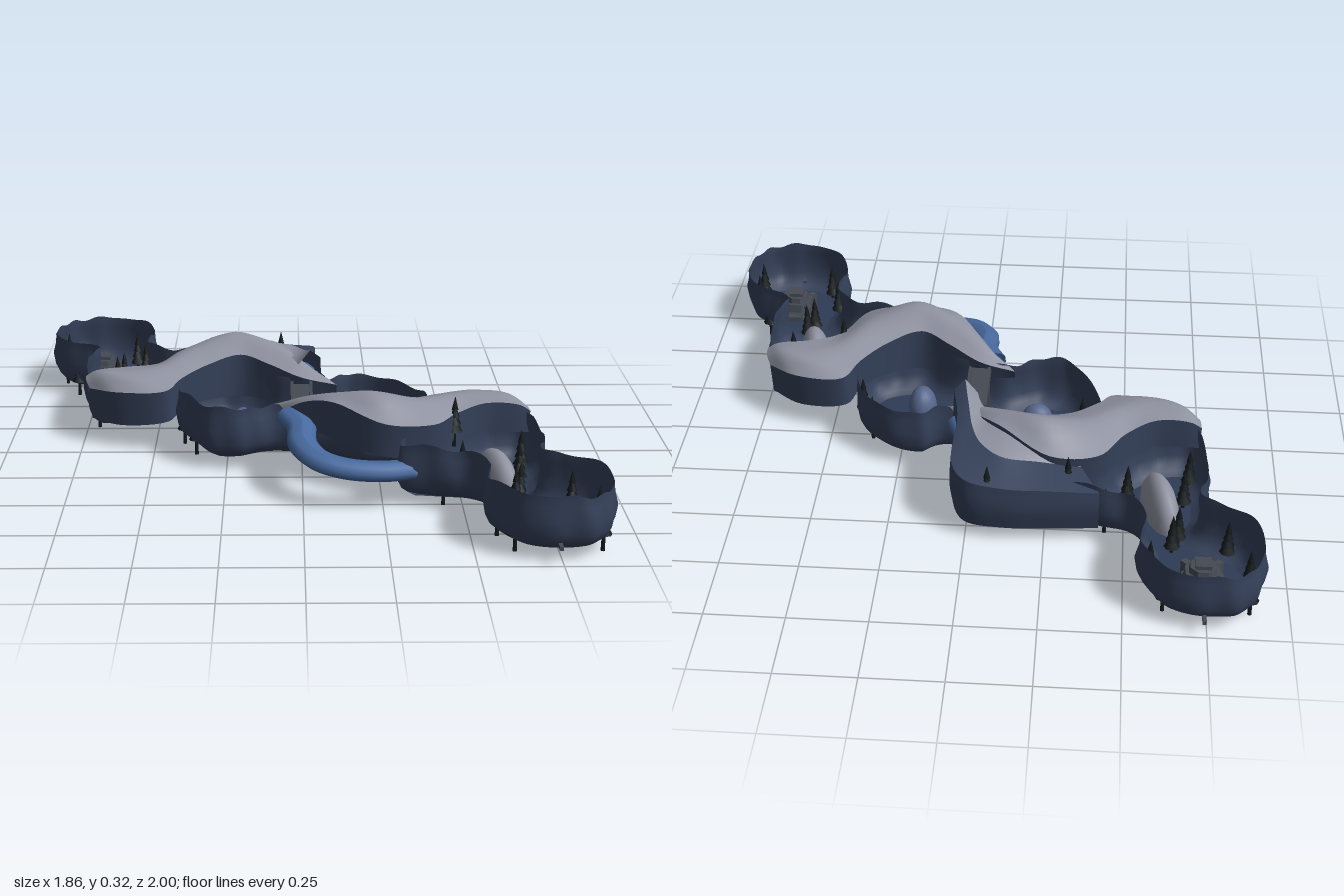
import * as THREE from 'three';

const mat = (color) => new THREE.MeshStandardMaterial({ color, side: THREE.DoubleSide, roughness: 0.9 });
const ROCK = mat(0x35415a), FLOOR = mat(0x2f3b56), SNOW = mat(0x8f92a0), ICE = mat(0x486a9f);
const TREE = mat(0x12181a), METAL = mat(0x444a54), MOUND = mat(0x56678c);
const V = (x, y, z) => new THREE.Vector3(x, y, z);

function add(parent, name, geo, material, x = 0, y = 0, z = 0, ry = 0) {
  const m = new THREE.Mesh(geo, material);
  m.name = name;
  m.position.set(x, y, z);
  m.rotation.y = ry;
  parent.add(m);
  return m;
}

// Half-buried rock that ends flat at the ground
function dome(parent, name, material, [x, y, z], [sx, sy, sz], ry = 0) {
  const geo = new THREE.SphereGeometry(1, 14, 7, 0, Math.PI * 2, 0, Math.PI / 2);
  add(parent, name, geo, material, x, y, z, ry).scale.set(sx, sy, sz);
}

// Skin a list of equally long rows of points
function skin(rows, closed) {
  const n = rows[0].length, pos = [], idx = [];
  rows.forEach((r) => r.forEach((p) => pos.push(p.x, p.y, p.z)));
  for (let r = 0; r < rows.length - 1; r++) {
    for (let i = 0; i < (closed ? n : n - 1); i++) {
      const a = r * n + i, b = r * n + (i + 1) % n;
      idx.push(a, b, a + n, b, b + n, a + n);
    }
  }
  const g = new THREE.BufferGeometry();
  g.setAttribute('position', new THREE.Float32BufferAttribute(pos, 3));
  g.setIndex(idx);
  g.computeVertexNormals();
  return g;
}

// Smooth surface through cross-sections, using only points from..to of each
function loft(sections, from, to) {
  const along = 48, across = 4 * (to - from);
  const rails = sections[0].slice(from, to + 1).map((_, j) =>
    new THREE.CatmullRomCurve3(sections.map((s) => V(...s[from + j]))));
  const rows = [];
  for (let i = 0; i <= along; i++) {
    const cut = new THREE.CatmullRomCurve3(rails.map((c) => c.getPoint(i / along)));
    rows.push(Array.from({ length: across + 1 }, (_, k) => cut.getPoint(k / across)));
  }
  return skin(rows, false);
}

// Cliff-walled valley: wavy rim, bulging wall, banked edge and flat floor
function valley(parent, name, outline, rim, floorY) {
  const curve = new THREE.CatmullRomCurve3(outline.map(([x, z]) => V(x, 0, z)), true);
  const n = 160, pts = curve.getPoints(n).slice(0, n);
  const profile = [[1, 0.003], [0.8, 0.004], [0.55, -0.004], [0.3, 0.002], [0.15, 0.012], [0.06, 0.03], [0, 0.05]];
  const sign = THREE.ShapeUtils.area(pts.map((p) => new THREE.Vector2(p.x, p.z))) > 0 ? 1 : -1;
  const rows = profile.map(([h, inset]) => pts.map((p, i) => {
    const t = V(0, 0, 0).subVectors(pts[(i + 1) % n], pts[(i + n - 1) % n]).normalize();
    const wave = Math.sin(p.x * 31 + p.z * 17) * 0.5 + Math.sin(p.x * 53 - p.z * 47) * 0.5;
    const d = inset + wave * 0.008 * Math.sin(h * Math.PI);
    return V(p.x - t.z * d * sign, floorY + h * (rim - floorY + wave * 0.01), p.z + t.x * d * sign);
  }));
  add(parent, name + 'Cliffs', skin(rows, true), ROCK);
  const edge = rows[rows.length - 1].map((p) => new THREE.Vector2(p.x, -p.z));
  const floor = new THREE.ShapeGeometry(new THREE.Shape(edge));
  floor.rotateX(-Math.PI / 2);
  add(parent, name + 'Floor', floor, FLOOR, 0, floorY, 0);
}

// Small conifer whose trunk runs through the ground
function pine(parent, x, z, base = 0) {
  const g = new THREE.Group();
  g.name = 'pineTree';
  g.position.set(x, base, z);
  add(g, 'trunk', new THREE.CylinderGeometry(0.005, 0.007, 0.08, 6), TREE, 0, 0.04, 0);
  for (let i = 0; i < 4; i++) {
    add(g, 'branches', new THREE.ConeGeometry(0.026 - i * 0.005, 0.045, 8), TREE, 0, 0.075 + i * 0.024, 0, i);
  }
  parent.add(g);
}

// Stepped octagonal outpost
function outpost(parent, x, z) {
  const g = new THREE.Group();
  g.name = 'outpost';
  g.position.set(x, 0.03, z);
  let y = 0;
  for (const [r, h] of [[0.075, 0.02], [0.062, 0.03], [0.045, 0.02]]) {
    const geo = new THREE.CylinderGeometry(r * 0.93, r, h, 8).toNonIndexed();
    geo.computeVertexNormals();
    add(g, 'tier', geo, METAL, 0, y + h / 2, 0, Math.PI / 8);
    y += h;
  }
  add(g, 'roof', new THREE.BoxGeometry(0.05, 0.012, 0.05), METAL, 0, y + 0.006, 0);
  for (const sx of [-1, 1]) for (const sz of [-1, 1]) {
    add(g, 'buttress', new THREE.BoxGeometry(0.022, 0.045, 0.022), METAL, sx * 0.05, 0.022, sz * 0.05, Math.PI / 4);
  }
  add(g, 'step', new THREE.BoxGeometry(0.05, 0.018, 0.03), METAL, 0, 0.009, -0.075);
  parent.add(g);
}

// One half of the map: base, lane, ridge and ice tunnel
function half(name) {
  const g = new THREE.Group();
  g.name = name;
  valley(g, 'base', [[0.47, 0.3], [0.6, 0.19], [0.72, 0.18], [0.755, 0.3], [0.76, 0.47], [0.735, 0.56],
    [0.8, 0.61], [0.885, 0.67], [0.92, 0.81], [0.86, 0.95], [0.74, 0.98], [0.62, 0.94], [0.545, 0.81],
    [0.56, 0.66], [0.5, 0.575], [0.4, 0.55], [0.3, 0.5], [0.33, 0.44], [0.42, 0.4]], 0.205, 0.03);

  // Snowy ridge with rock faces, from the arena side to the lane side
  const ridge = [
    [[-0.12, 0.17, 0.13], [-0.12, 0.2, 0.12], [-0.08, 0.22, 0.15], [-0.06, 0.21, 0.18], [-0.05, 0.17, 0.19]],
    [[0.0, 0.15, 0.15], [0.0, 0.22, 0.14], [0.0, 0.26, 0.2], [0.01, 0.26, 0.25], [0.0, 0.17, 0.25]],
    [[0.11, 0.12, 0.21], [0.11, 0.25, 0.2], [0.1, 0.3, 0.28], [0.1, 0.29, 0.355], [0.1, 0.17, 0.35]],
    [[0.22, 0.12, 0.25], [0.21, 0.27, 0.25], [0.23, 0.325, 0.35], [0.26, 0.25, 0.455], [0.26, 0.14, 0.45]],
    [[0.33, 0.12, 0.2], [0.32, 0.25, 0.2], [0.37, 0.285, 0.3], [0.41, 0.24, 0.43], [0.4, 0.14, 0.42]],
    [[0.41, 0.12, 0.11], [0.41, 0.23, 0.1], [0.48, 0.255, 0.17], [0.5, 0.23, 0.28], [0.5, 0.14, 0.28]],
    [[0.45, 0.1, 0.03], [0.46, 0.21, 0.02], [0.58, 0.25, 0.1], [0.6, 0.24, 0.21], [0.6, 0.14, 0.21]],
    [[0.61, 0.08, 0.05], [0.62, 0.2, 0.04], [0.68, 0.245, 0.12], [0.71, 0.23, 0.2], [0.71, 0.14, 0.21]],
    [[0.72, 0.08, 0.13], [0.725, 0.19, 0.12], [0.74, 0.21, 0.15], [0.745, 0.21, 0.2], [0.74, 0.14, 0.21]],
  ];
  add(g, 'ridgeArenaFace', loft(ridge, 0, 1), ROCK);
  add(g, 'snowRidge', loft(ridge, 1, 3), SNOW);
  add(g, 'ridgeOuterFace', loft(ridge, 3, 4), ROCK);

  // Curved, flattened ice tunnel
  const path = new THREE.CatmullRomCurve3([V(-0.04, 0.195, 0.19), V(-0.005, 0.185, 0.28), V(0, 0.165, 0.4),
    V(0.05, 0.145, 0.49), V(0.13, 0.13, 0.525), V(0.24, 0.12, 0.525), V(0.34, 0.115, 0.49)]);
  const tube = new THREE.TubeGeometry(path, 40, 0.048, 10, false);
  const p = tube.attributes.position;
  for (let i = 0; i < p.count; i++) {
    const c = path.getPointAt(Math.floor(i / 11) / 40);
    p.setY(i, c.y + (p.getY(i) - c.y) * 0.65);
  }
  tube.computeVertexNormals();
  add(g, 'iceTunnel', tube, ICE);

  // Lane rock, outpost and edge marker
  dome(g, 'laneRock', SNOW, [0.615, 0.03, 0.42], [0.055, 0.12, 0.14], 0.25);
  outpost(g, 0.74, 0.78);
  add(g, 'marker', new THREE.BoxGeometry(0.012, 0.012, 0.05), METAL, 0.74, 0.055, 0.975);
  [[0.71, 0.27], [0.51, 0.37], [0.69, 0.39], [0.44, 0.5], [0.65, 0.63], [0.82, 0.645], [0.67, 0.58],
    [0.58, 0.76], [0.88, 0.79], [0.62, 0.88], [0.88, 0.88], [0.4, 0.09], [0.355, -0.02]].forEach(([x, z]) => pine(g, x, z));

  // Arena details
  dome(g, 'mound', MOUND, [0.2, 0.035, -0.08], [0.055, 0.06, 0.045]);
  dome(g, 'boulder', MOUND, [0.2, 0.035, 0.13], [0.05, 0.08, 0.06]);
  add(g, 'bridgePost', new THREE.BoxGeometry(0.07, 0.16, 0.03), METAL, 0, 0.115, 0.1);
  add(g, 'bridgeRail', new THREE.BoxGeometry(0.01, 0.02, 0.24), METAL, 0.032, 0.205, 0);
  return g;
}

export function createModel() {
  const root = new THREE.Group();
  root.name = 'canyonMap';
  root.add(half('frontHalf'));
  const back = half('backHalf');
  back.rotation.y = Math.PI;
  root.add(back);
  pine(root, 0.49, 0.29, 0.12);

  // Central arena
  valley(root, 'arena', [[-0.42, -0.08], [-0.37, -0.2], [-0.28, -0.26], [-0.18, -0.26], [-0.08, -0.18],
    [0.02, -0.15], [0.1, -0.14], [0.17, -0.19], [0.27, -0.17], [0.37, -0.08], [0.42, 0.08], [0.37, 0.2],
    [0.28, 0.25], [0.18, 0.25], [0.08, 0.18], [-0.02, 0.15], [-0.1, 0.14], [-0.2, 0.19], [-0.3, 0.18],
    [-0.37, 0.07]], 0.215, 0.035);
  add(root, 'bridgeDeck', new THREE.BoxGeometry(0.075, 0.015, 0.28), METAL, 0, 0.19, 0);

  // Shelf over the back tunnel: snow on the inside, rock outside
  const shelf = [
    [[-0.36, 0.24, -0.41], [-0.36, 0.21, -0.45], [-0.42, 0.19, -0.56], [-0.42, 0.13, -0.565], [-0.42, 0.05, -0.55]],
    [[-0.23, 0.26, -0.42], [-0.23, 0.23, -0.46], [-0.26, 0.2, -0.575], [-0.26, 0.13, -0.58], [-0.26, 0.05, -0.565]],
    [[-0.14, 0.28, -0.35], [-0.11, 0.25, -0.47], [-0.12, 0.205, -0.58], [-0.12, 0.13, -0.585], [-0.12, 0.05, -0.57]],
    [[-0.1, 0.28, -0.31], [-0.04, 0.26, -0.41], [0.0, 0.215, -0.555], [0.0, 0.13, -0.56], [0, 0.05, -0.545]],
    [[-0.06, 0.27, -0.25], [-0.01, 0.27, -0.34], [0.045, 0.23, -0.49], [0.05, 0.14, -0.49], [0.04, 0.06, -0.48]],
    [[-0.03, 0.27, -0.2], [0.01, 0.29, -0.24], [0.045, 0.27, -0.27], [0.05, 0.15, -0.27], [0.04, 0.06, -0.26]],
    [[-0.01, 0.27, -0.13], [0.03, 0.32, -0.13], [0.065, 0.29, -0.15], [0.07, 0.15, -0.16], [0.06, 0.06, -0.16]],
  ];
  add(root, 'shelfSnow', loft(shelf, 0, 1), SNOW);
  add(root, 'shelfTop', loft(shelf, 1, 2), ROCK);
  add(root, 'shelfCliff', loft(shelf, 2, 4), ROCK);
  pine(root, -0.07, -0.55, 0.1);
  pine(root, -0.32, -0.48, 0.1);
  return root;
}
